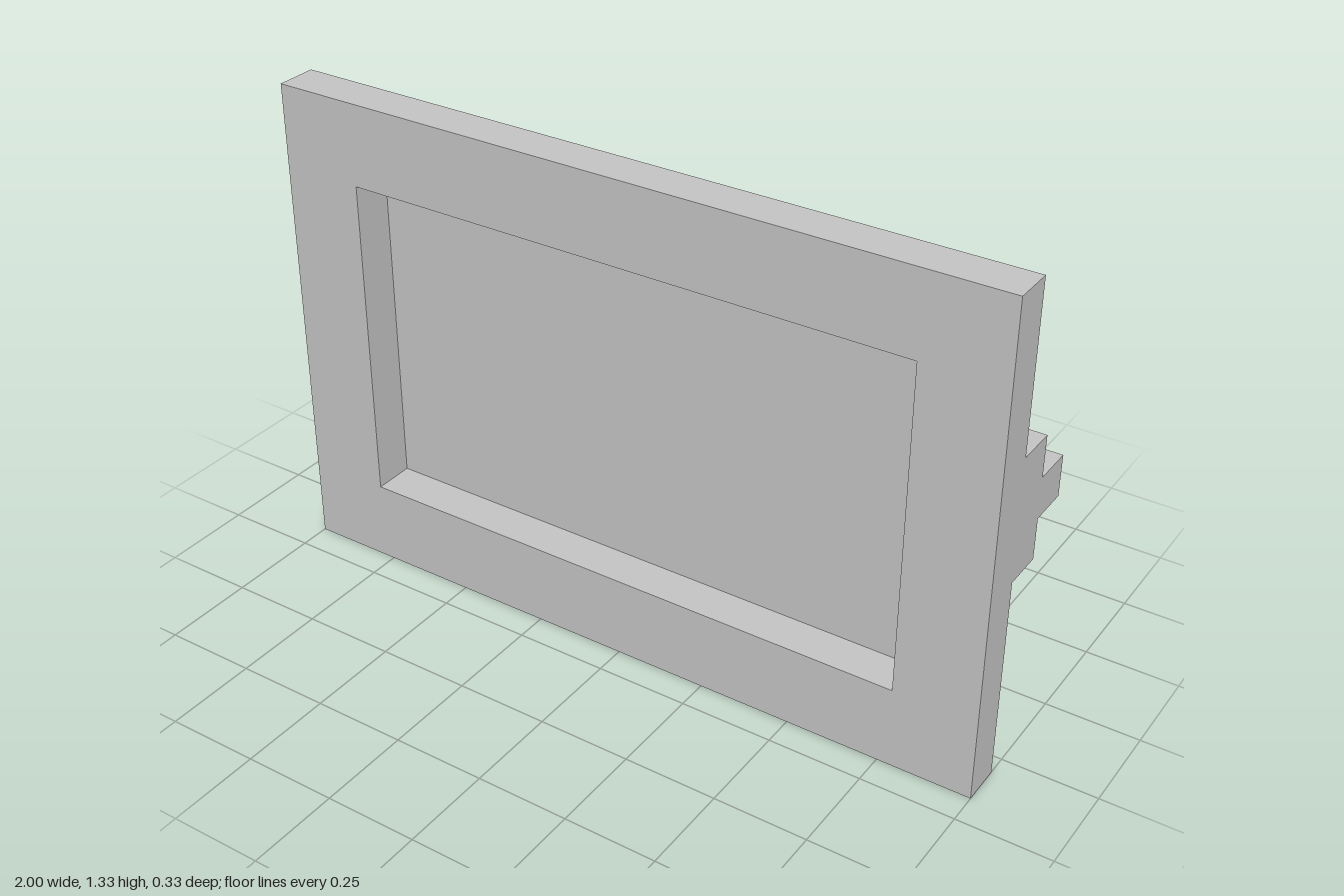
import * as THREE from 'three';

const U = 1 / 9; // grid module: the panel is 18 x 12 x 3 modules

const lightGrey = new THREE.MeshStandardMaterial({ color: 0xc4c4c4 });
lightGrey.name = 'lightGrey';

const points = (list) => list.map(([x, y]) => new THREE.Vector2(x * U, y * U));
const rectangle = (x0, y0, x1, y1) => [[x0, y0], [x1, y0], [x1, y1], [x0, y1]];

// One flat layer, one module thick, starting at depth z (in modules)
function layer(name, outline, z, hole) {
  const shape = new THREE.Shape(points(outline));
  if (hole) shape.holes.push(new THREE.Path(points(hole)));
  const geometry = new THREE.ExtrudeGeometry(shape, { depth: U, bevelEnabled: false });
  geometry.translate(0, 0, z * U);
  const mesh = new THREE.Mesh(geometry, lightGrey);
  mesh.name = name;
  return mesh;
}

export function createModel() {
  const model = new THREE.Group();
  model.name = 'framedPanel';

  // Front frame with a rectangular opening
  model.add(layer('frontFrame', rectangle(-9, 0, 9, 12), 0.5, rectangle(-7, 2, 7, 10)));

  // Panel behind the frame: latch block on the +x edge, two hinge tabs on the -x edge
  model.add(layer('backPanel', [
    [-8, 1], [8, 1],
    [8, 5], [9, 5], [9, 8], [8, 8],
    [8, 11], [-8, 11],
    [-8, 9], [-9, 9], [-9, 7], [-8, 7],
    [-8, 5], [-9, 5], [-9, 3], [-8, 3],
  ], -0.5));

  // Latch plate on the back with a narrow outer tab
  model.add(layer('latch', [
    [6, 5], [8, 5], [8, 6], [9, 6], [9, 7], [8, 7], [8, 8], [6, 8],
  ], -1.5));

  return model;
}
